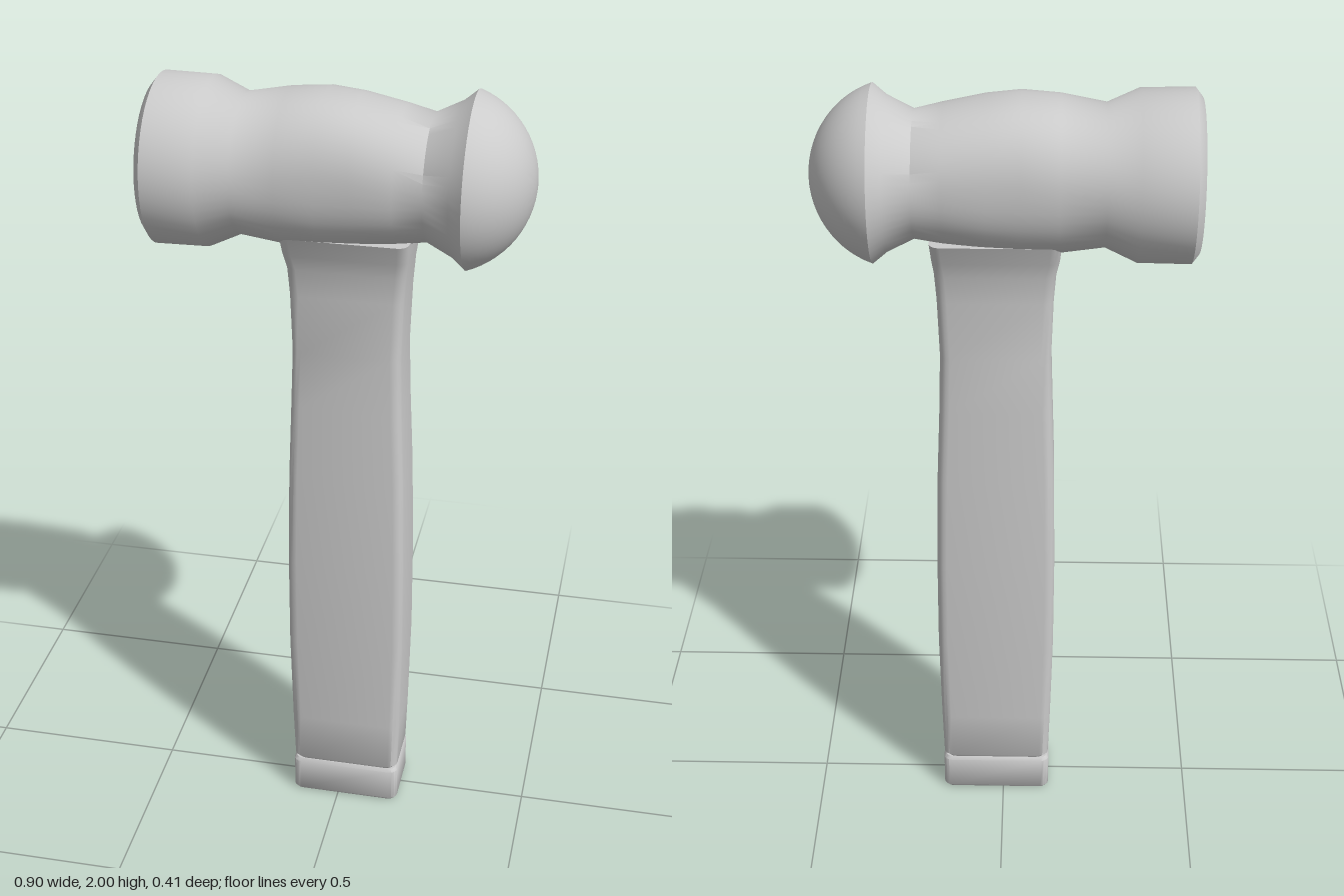
import * as THREE from 'three';
import { toCreasedNormals } from 'three/addons/utils/BufferGeometryUtils.js';

const material = new THREE.MeshStandardMaterial({ color: 0xcccccc });

// Skin a list of equal-length counterclockwise rings and close both ends with fans.
function loft(rings, crease) {
  const n = rings[0].length;
  const pos = [];
  const index = [];
  rings.forEach((ring) => ring.forEach((p) => pos.push(p.x, p.y, p.z)));
  for (let i = 0; i < rings.length - 1; i++) {
    for (let j = 0; j < n; j++) {
      const k = (j + 1) % n;
      const a = i * n + j, b = i * n + k, c = b + n, d = a + n;
      index.push(a, b, c, a, c, d);
    }
  }
  const addCap = (row, flip) => {
    const centre = new THREE.Vector3();
    rings[row].forEach((p) => centre.addScaledVector(p, 1 / n));
    const m = pos.length / 3;
    pos.push(centre.x, centre.y, centre.z);
    for (let j = 0; j < n; j++) {
      const a = row * n + j, b = row * n + ((j + 1) % n);
      index.push(m, flip ? b : a, flip ? a : b);
    }
  };
  addCap(0, true);
  addCap(rings.length - 1, false);
  const geometry = new THREE.BufferGeometry();
  geometry.setAttribute('position', new THREE.Float32BufferAttribute(pos, 3));
  geometry.setIndex(index);
  return toCreasedNormals(geometry, crease);
}

// Head section across x: superellipse between bottom and top heights.
function headRing(x, bottom, top, halfZ, power = 2) {
  const ring = [];
  const shape = (t) => Math.sign(t) * Math.pow(Math.abs(t), 2 / power);
  for (let j = 0; j < 48; j++) {
    const a = (j / 48) * Math.PI * 2;
    ring.push(new THREE.Vector3(
      x,
      (top + bottom) / 2 + ((top - bottom) / 2) * shape(Math.cos(a)),
      halfZ * shape(Math.sin(a))
    ));
  }
  return ring;
}

// Handle section across y: rounded rectangle.
function handleRing(y, x0, x1, halfZ, radius = 0.025) {
  const ring = [];
  const cx = (x0 + x1) / 2, hx = (x1 - x0) / 2 - radius, hz = halfZ - radius;
  const corners = [[1, 1], [-1, 1], [-1, -1], [1, -1]];
  corners.forEach(([sz, sx], q) => {
    for (let s = 0; s <= 4; s++) {
      const a = (q + s / 4) * Math.PI / 2;
      ring.push(new THREE.Vector3(
        cx + sx * hx + radius * Math.sin(a), y, sz * hz + radius * Math.cos(a)
      ));
    }
  });
  return ring;
}

function createModel() {
  const group = new THREE.Group();
  const add = (name, geometry) => {
    const mesh = new THREE.Mesh(geometry, material);
    mesh.name = name;
    group.add(mesh);
  };

  // Head: striking face, waisted body, flared neck and domed peen
  const cy = 1.793;
  const round = (x, r) => headRing(x, cy - r, cy + r, r);
  const head = [
    round(-0.452, 0.18),
    round(-0.435, 0.202),
    round(-0.31, 0.2),
    headRing(-0.235, 1.628, 1.96, 0.166),
    headRing(-0.13, 1.617, 1.978, 0.171, 2.2),
    headRing(-0.04, 1.618, 1.985, 0.167, 2.3),
    headRing(0.04, 1.625, 1.976, 0.164, 2.3),
    headRing(0.14, 1.638, 1.955, 0.162, 2.2),
    round(0.207, 0.149),
    round(0.27, 0.18),
  ];
  const domeCentre = 0.231, domeRadius = 0.219;
  const rimAngle = Math.asin(0.207 / domeRadius);
  for (let i = 0; i < 14; i++) {
    const a = rimAngle * (1 - i / 14);
    head.push(round(domeCentre + domeRadius * Math.cos(a), domeRadius * Math.sin(a)));
  }
  add('head', loft(head, 0.7));

  // Handle shaft, swelling at the grip and flaring into the head
  add('handle', loft([
    [0.1, -0.11, 0.15, 0.078],
    [0.115, -0.122, 0.162, 0.087],
    [0.25, -0.126, 0.166, 0.09],
    [0.5, -0.131, 0.171, 0.094],
    [0.75, -0.131, 0.17, 0.094],
    [1.0, -0.127, 0.165, 0.09],
    [1.2, -0.12, 0.157, 0.085],
    [1.35, -0.115, 0.153, 0.082],
    [1.5, -0.119, 0.158, 0.084],
    [1.57, -0.124, 0.163, 0.088],
    [1.61, -0.132, 0.168, 0.1],
    [1.66, -0.136, 0.172, 0.118],
  ].map((s) => handleRing(...s)), 0.7));

  // Butt cap with a shallow recess underneath
  add('buttCap', loft([
    [0.03, -0.092, 0.132, 0.056, 0.01],
    [0, -0.1, 0.14, 0.064, 0.012],
    [0, -0.118, 0.157, 0.083, 0.018],
    [0.008, -0.124, 0.163, 0.089, 0.022],
    [0.097, -0.124, 0.163, 0.089, 0.022],
    [0.105, -0.118, 0.157, 0.083, 0.018],
  ].map((s) => handleRing(...s)), 0.7));

  return group;
}

export { createModel };
